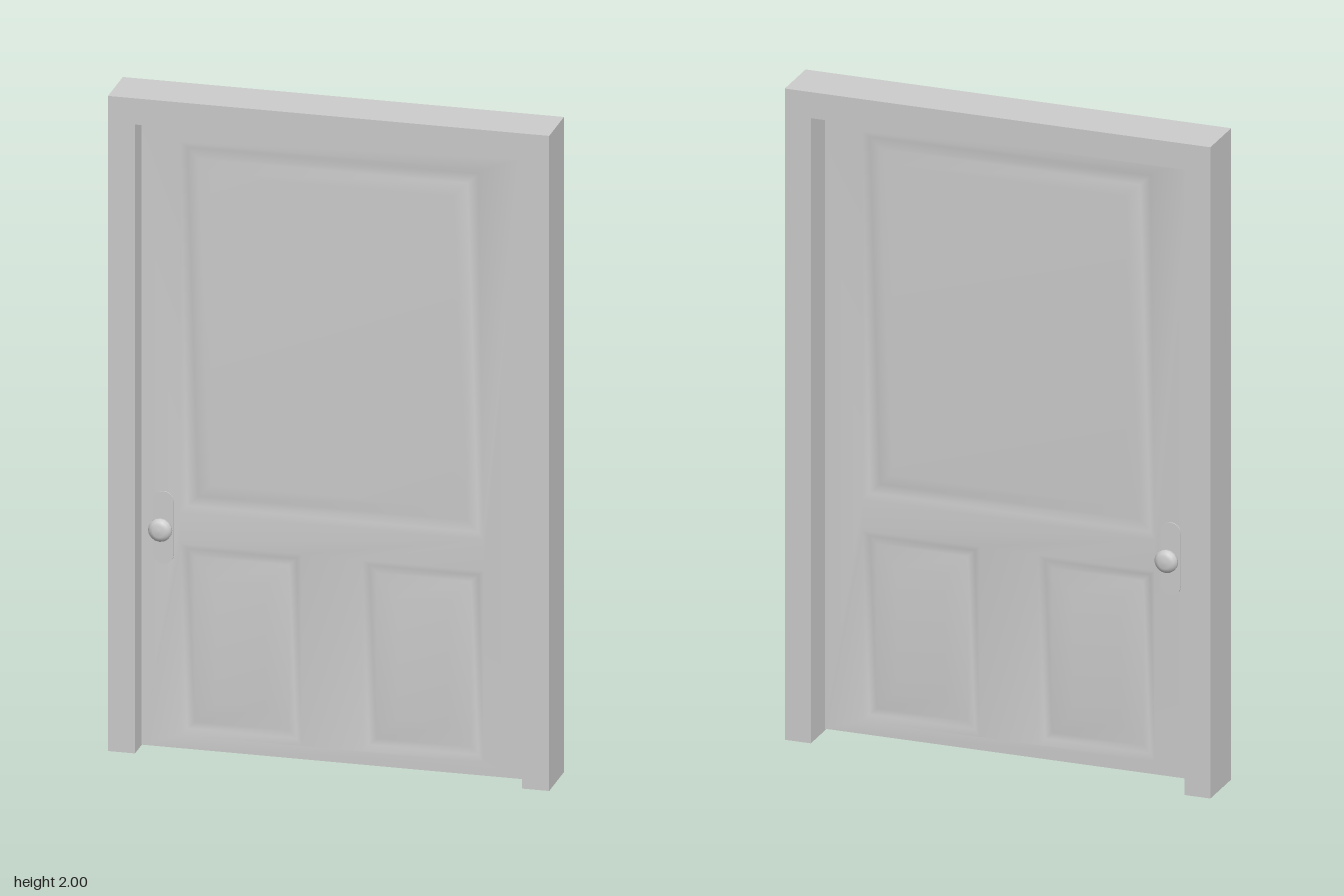
import * as THREE from 'three';
import { mergeGeometries, mergeVertices } from 'three/addons/utils/BufferGeometryUtils.js';

const material = new THREE.MeshStandardMaterial({ color: 0xcccccc });

const DOOR = { x: 0.565, y0: 0.015, y1: 1.91, half: 0.02, z: 0.015 };
const GROOVE = -0.011;

// Recessed panels: x range, y range, and [inset, depth] steps from lip to raised field
const PANELS = [
  { x0: -0.45, x1: 0.45, y0: 0.735, y1: 1.865, steps: [[0, 0], [0.018, GROOVE], [0.05, GROOVE], [0.09, 0]] },
  { x0: -0.45, x1: -0.09, y0: 0.055, y1: 0.64, steps: [[0, 0], [0.018, GROOVE], [0.04, GROOVE], [0.105, 0]] },
  { x0: 0.09, x1: 0.45, y0: 0.055, y1: 0.64, steps: [[0, 0], [0.018, GROOVE], [0.04, GROOVE], [0.105, 0]] },
];

function mesh(name, geometry) {
  const m = new THREE.Mesh(geometry, material);
  m.name = name;
  return m;
}

// Counter-clockwise corners of a rectangle
const corners = (x0, x1, y0, y1) => [[x0, y0], [x1, y0], [x1, y1], [x0, y1]];

// Nested rectangular rings closed by a flat field
function panelGeometry({ x0, x1, y0, y1, steps }) {
  const positions = [];
  const index = [];
  steps.forEach(([d, z], s) => {
    for (const [x, y] of corners(x0 + d, x1 - d, y0 + d, y1 - d)) positions.push(x, y, z);
    if (s === 0) return;
    for (let i = 0; i < 4; i++) {
      const j = (i + 1) % 4, a = (s - 1) * 4, b = s * 4;
      index.push(a + i, a + j, b + j, a + i, b + j, b + i);
    }
  });
  const c = (steps.length - 1) * 4;
  index.push(c, c + 1, c + 2, c, c + 2, c + 3);
  const g = new THREE.BufferGeometry();
  g.setAttribute('position', new THREE.Float32BufferAttribute(positions, 3));
  g.setIndex(index);
  return g;
}

// Stiles and rails with the panels welded in, softly shaded
function doorFaceGeometry() {
  const toPoints = (list) => list.map(([x, y]) => new THREE.Vector2(x, y));
  const shape = new THREE.Shape(toPoints(corners(-DOOR.x, DOOR.x, DOOR.y0, DOOR.y1)));
  for (const p of PANELS) {
    shape.holes.push(new THREE.Path(toPoints(corners(p.x0, p.x1, p.y0, p.y1).reverse())));
  }
  const flat = new THREE.ShapeGeometry(shape);
  flat.deleteAttribute('normal');
  flat.deleteAttribute('uv');
  const g = mergeVertices(mergeGeometries([flat, ...PANELS.map(panelGeometry)]), 1e-4);
  g.computeVertexNormals();
  return g;
}

// The four narrow sides of the door leaf
function doorEdgeGeometry() {
  const pts = corners(-DOOR.x, DOOR.x, DOOR.y0, DOOR.y1);
  const positions = [];
  pts.forEach(([ax, ay], i) => {
    const [bx, by] = pts[(i + 1) % 4];
    const h = DOOR.half;
    positions.push(ax, ay, h, ax, ay, -h, bx, by, -h, ax, ay, h, bx, by, -h, bx, by, h);
  });
  const g = new THREE.BufferGeometry();
  g.setAttribute('position', new THREE.Float32BufferAttribute(positions, 3));
  g.computeVertexNormals();
  return g;
}

// Round-ended plate
function plateGeometry() {
  const r = 0.031, h = 0.08;
  const s = new THREE.Shape();
  s.absarc(0, h, r, 0, Math.PI, false);
  s.absarc(0, -h, r, Math.PI, Math.PI * 2, false);
  s.closePath();
  return new THREE.ExtrudeGeometry(s, { depth: 0.004, bevelEnabled: false, curveSegments: 6 });
}

// Knob turned around its neck, pointing along +z
function knobGeometry() {
  const profile = [[0.014, 0], [0.014, 0.02], [0.026, 0.026], [0.035, 0.034],
    [0.035, 0.043], [0.028, 0.052], [0.018, 0.057], [0, 0.058]];
  const g = new THREE.LatheGeometry(profile.map(([x, y]) => new THREE.Vector2(x, y)), 16);
  return g.rotateX(Math.PI / 2);
}

// One side of the door: face, plate and knob
function doorSide(name, handleX) {
  const side = new THREE.Group();
  side.name = name;
  const face = mesh('panelledFace', doorFaceGeometry());
  const plate = mesh('handlePlate', plateGeometry());
  const knob = mesh('knob', knobGeometry());
  plate.position.set(handleX, 0.685, 0);
  knob.position.set(handleX, 0.69, 0);
  side.add(face, plate, knob);
  side.position.z = DOOR.half;
  return side;
}

export function createModel() {
  const model = new THREE.Group();
  model.name = 'panelDoor';

  // Frame: two jambs and a head in one piece
  const outline = [[-0.655, 0], [-0.575, 0], [-0.575, 1.92], [0.575, 1.92],
    [0.575, 0], [0.655, 0], [0.655, 2], [-0.655, 2]];
  const frame = mesh('doorFrame', new THREE.ExtrudeGeometry(
    new THREE.Shape(outline.map(([x, y]) => new THREE.Vector2(x, y))),
    { depth: 0.165, bevelEnabled: false }));
  frame.position.z = -0.093;

  // Door leaf with matching front and back
  const door = new THREE.Group();
  door.name = 'door';
  door.position.z = DOOR.z;
  const front = doorSide('frontSide', -0.5);
  const back = doorSide('backSide', 0.5);
  back.rotation.y = Math.PI;
  back.position.z = -DOOR.half;
  door.add(front, back, mesh('doorEdge', doorEdgeGeometry()));

  model.add(frame, door);
  return model;
}
